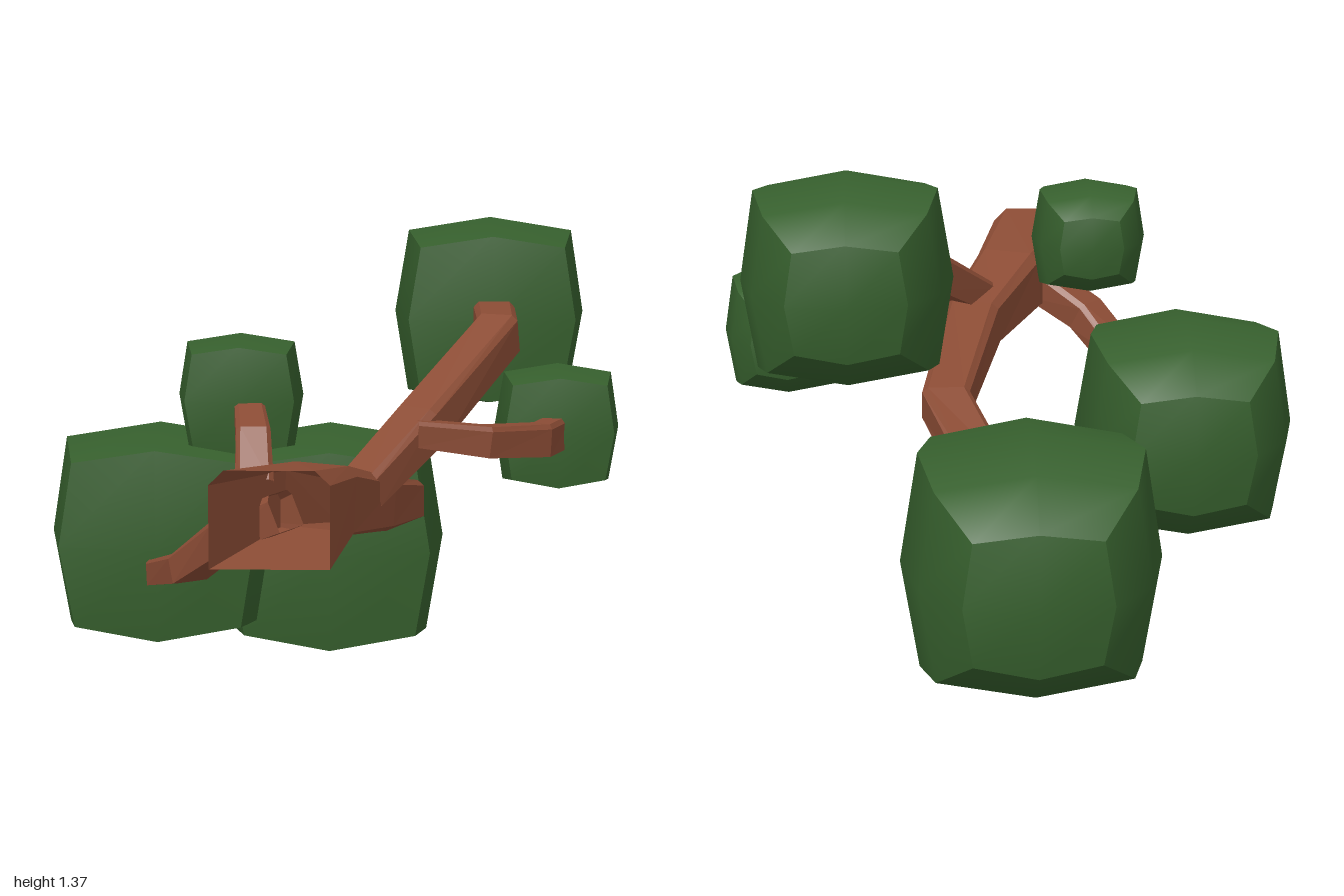
import * as THREE from 'three';

const bark = new THREE.MeshStandardMaterial({ name: 'bark brown', color: 0x8b4c35, side: THREE.DoubleSide });
const leaf = new THREE.MeshStandardMaterial({ name: 'leaf green', color: 0x365f2d });

// Cross-section of a limb: a box with its upper corners cut
const SECTION = [[-1, -1], [1, -1], [1, 0.7], [0.75, 1], [-0.75, 1], [-1, 0.7]];

// Faceted limb through points [x, y, z, halfWidth, halfHeight]; open at its start
function limb(name, pts, startDir) {
  const P = pts.map(p => new THREE.Vector3(p[0], p[1], p[2]));
  const n = SECTION.length, pos = [], idx = [];
  P.forEach((p, i) => {
    const a = P[Math.max(i - 1, 0)], b = P[Math.min(i + 1, P.length - 1)];
    const t = i === 0 && startDir ? startDir : b.clone().sub(a).normalize();
    const side = new THREE.Vector3().crossVectors(t, new THREE.Vector3(0, 1, 0)).normalize();
    const up = new THREE.Vector3().crossVectors(side, t);
    for (const [u, v] of SECTION) {
      const q = p.clone().addScaledVector(side, u * pts[i][3]).addScaledVector(up, v * pts[i][4]);
      pos.push(q.x, q.y, q.z);
    }
  });
  for (let i = 0; i < P.length - 1; i++) {
    for (let j = 0; j < n; j++) {
      const a = i * n + j, b = i * n + (j + 1) % n;
      idx.push(a, b, b + n, a, b + n, a + n);
    }
  }
  const end = (P.length - 1) * n;
  for (let j = 1; j < n - 1; j++) idx.push(end, end + j, end + j + 1);
  let g = new THREE.BufferGeometry();
  g.setAttribute('position', new THREE.Float32BufferAttribute(pos, 3));
  g.setIndex(idx);
  g = g.toNonIndexed();
  g.computeVertexNormals();
  const m = new THREE.Mesh(g, bark);
  m.name = name;
  return m;
}

// Leaf clump: a bulging cube, smooth within each face, narrowing toward -z
const ROW_Z = [-0.88, -0.5, 0.12, 0.87];
const ROW_HALF = [0.56, 0.87, 1, 0.87];

function clump(name, center, radii) {
  const g = new THREE.BoxGeometry(2, 2, 2, 2, 2, 3);
  const p = g.attributes.position;
  for (let i = 0; i < p.count; i++) {
    const u = p.getX(i), v = p.getY(i), w = p.getZ(i);
    const row = Math.round((w + 1) * 1.5), h = ROW_HALF[row];
    const middle = Math.abs(u) < 0.1 && Math.abs(v) < 0.1;
    const z = middle ? w : ROW_Z[row] * (1 - 0.07 * Math.abs(u * v));
    p.setXYZ(i, u * h * (1 - 0.14 * Math.abs(v)), v * h * (1 - 0.14 * Math.abs(u)), z);
  }
  g.scale(...radii);
  g.computeVertexNormals();
  const m = new THREE.Mesh(g, leaf);
  m.name = name;
  m.position.set(...center);
  return m;
}

export function createModel() {
  const tree = new THREE.Group();
  tree.name = 'tree';

  // Trunk and limbs
  tree.add(
    limb('trunk', [
      [-0.15, 0.775, 1, 0.15, 0.125],
      [-0.03, 0.765, 0.68, 0.1, 0.085],
      [0.09, 0.7, 0.43, 0.08, 0.065],
      [0.187, 0.6, -0.04, 0.068, 0.052],
      [0.075, 0.465, -0.36, 0.07, 0.045],
      [0.03, 0.41, -0.46, 0.065, 0.045],
    ], new THREE.Vector3(0, 0, -1)),
    limb('upperBranch', [
      [0.07, 0.75, 0.53, 0.06, 0.045],
      [0.235, 0.89, 0.33, 0.065, 0.055],
      [0.46, 1.09, 0, 0.06, 0.055],
      [0.46, 1.09, -0.28, 0.06, 0.055],
    ]),
    limb('leftTwig', [
      [0.22, 0.88, 0.41, 0.03, 0.035],
      [0.41, 0.85, 0.37, 0.032, 0.042],
      [0.57, 0.825, 0.22, 0.035, 0.045],
      [0.625, 0.82, 0.08, 0.035, 0.045],
    ]),
    limb('lowerBranch', [
      [-0.12, 0.74, 0.74, 0.055, 0.05],
      [-0.27, 0.655, 0.645, 0.055, 0.045],
      [-0.39, 0.53, 0.5, 0.05, 0.04],
      [-0.48, 0.455, 0.26, 0.042, 0.035],
      [-0.49, 0.45, 0.12, 0.04, 0.035],
    ]),
    limb('topTwig', [
      [-0.2, 0.8, 0.7, 0.05, 0.04],
      [-0.205, 0.915, 0.635, 0.045, 0.035],
      [-0.22, 0.95, 0.49, 0.04, 0.028],
      [-0.235, 0.965, 0.36, 0.04, 0.028],
    ]),
  );

  // Leaf clumps
  tree.add(
    clump('crownClump', [-0.022, 0.355, -0.663], [0.35, 0.355, 0.337]),
    clump('upperClump', [0.455, 1.087, -0.475], [0.28, 0.28, 0.262]),
    clump('lowerClump', [-0.497, 0.515, -0.038], [0.313, 0.315, 0.297]),
    clump('leftClump', [0.63, 0.82, -0.03], [0.176, 0.18, 0.166]),
    clump('topClump', [-0.248, 0.978, 0.347], [0.167, 0.165, 0.158]),
  );
  return tree;
}
